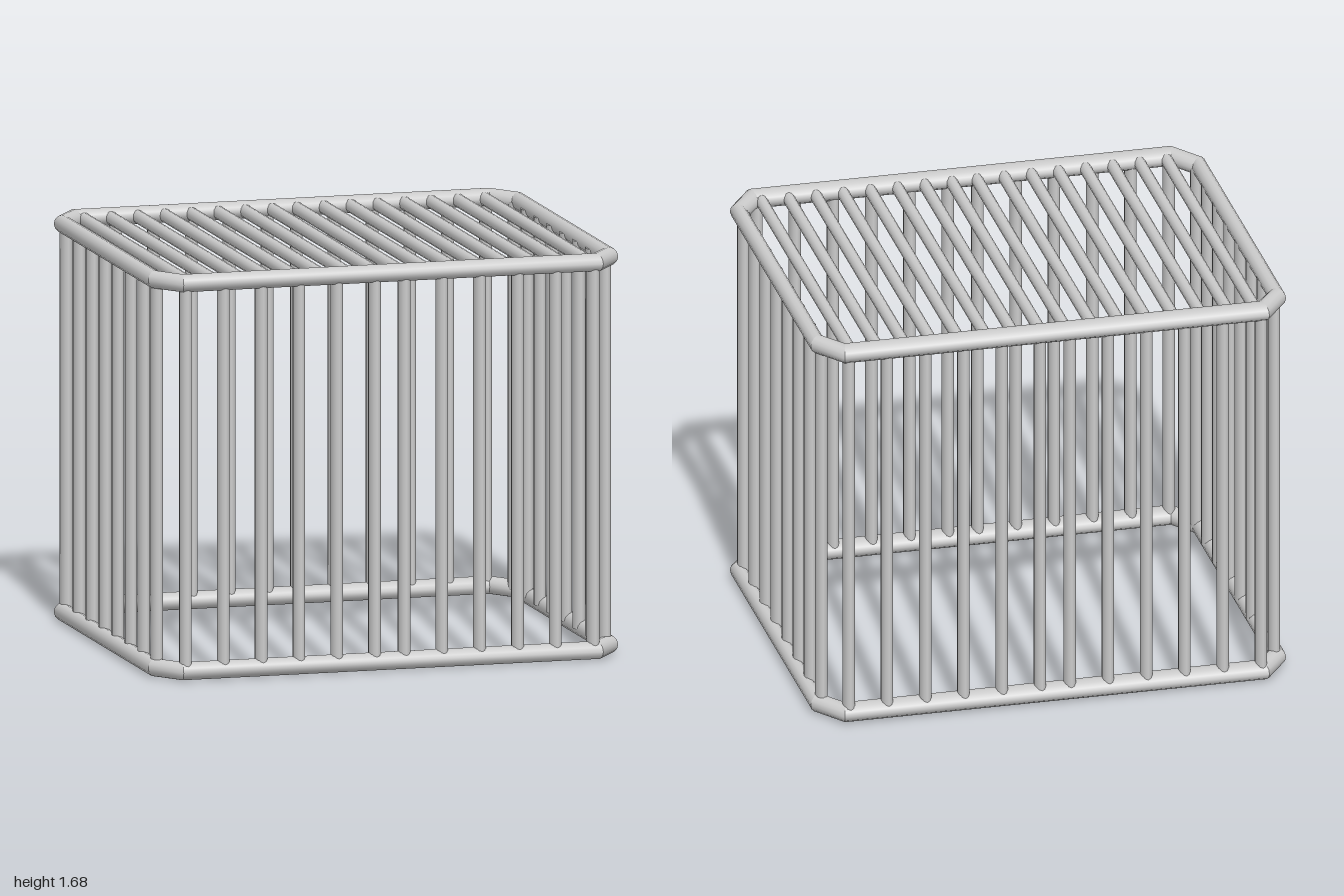
import * as THREE from 'three';

const material = new THREE.MeshStandardMaterial({ color: 0xcccccc, roughness: 0.7 });
const RAIL_Y = [0.0375, 1.6475]; // centre heights of the lower and upper rails
const RAIL_HALF_HEIGHT = 0.0375;
const SIDES = 12;

// Rounded rectangle with cut corners, as a loop of 8 points
function cutCornerLoop([ax, az], [bx, bz]) {
  return [[ax, az], [bx, bz], [bx, -bz], [ax, -az], [-ax, -az], [-bx, -bz], [-bx, bz], [-ax, az]];
}

// Closed rail: oval section swept between an inner and an outer loop, mitred at corners
function railGeometry() {
  const outer = cutCornerLoop([0.893, 0.841], [1, 0.69]);
  const inner = cutCornerLoop([0.868, 0.733], [0.935, 0.645]);
  const pos = [], index = [];
  const ring = (k) => {
    for (let s = 0; s < SIDES; s++) {
      const a = (s / SIDES) * Math.PI * 2;
      const t = (1 + Math.cos(a)) / 2;
      pos.push(
        inner[k][0] + (outer[k][0] - inner[k][0]) * t,
        Math.sin(a) * RAIL_HALF_HEIGHT,
        inner[k][1] + (outer[k][1] - inner[k][1]) * t
      );
    }
  };
  for (let k = 0; k < 8; k++) {
    const base = pos.length / 3;
    ring(k);
    ring((k + 1) % 8);
    for (let s = 0; s < SIDES; s++) {
      const a = base + s, b = base + ((s + 1) % SIDES);
      index.push(a, a + SIDES, b, b, a + SIDES, b + SIDES);
    }
  }
  const g = new THREE.BufferGeometry();
  g.setAttribute('position', new THREE.Float32BufferAttribute(pos, 3));
  g.setIndex(index);
  g.computeVertexNormals();
  return g;
}

export function createModel() {
  const model = new THREE.Group();
  model.name = 'cage';

  const add = (parent, geometry, name, x, y, z) => {
    const mesh = new THREE.Mesh(geometry, material);
    mesh.name = name;
    mesh.position.set(x, y, z);
    parent.add(mesh);
  };
  const group = (name) => {
    const g = new THREE.Group();
    g.name = name;
    model.add(g);
    return g;
  };

  // Lower and upper rails
  const rail = railGeometry();
  add(model, rail, 'bottomRail', 0, RAIL_Y[0], 0);
  add(model, rail, 'topRail', 0, RAIL_Y[1], 0);

  // Upright bars with an oval section, running from rail to rail
  const upright = new THREE.CylinderGeometry(1, 1, RAIL_Y[1] - RAIL_Y[0], SIDES);
  upright.scale(0.0245, 1, 0.041);
  const midY = (RAIL_Y[0] + RAIL_Y[1]) / 2;

  // Front and back rows: two runs of six with a closer pair in the middle
  for (const [name, z] of [['front', 0.785], ['back', -0.786]]) {
    const row = group(name + 'Bars');
    for (let i = 0; i < 6; i++) {
      add(row, upright, name + 'Bar', -0.87 + i * 0.161, midY, z);
      add(row, upright, name + 'Bar', 0.06 + i * 0.161, midY, z);
    }
  }

  // Side rows
  for (const [name, x] of [['left', 0.951], ['right', -0.955]]) {
    const row = group(name + 'Bars');
    for (let i = 0; i < 8; i++) add(row, upright, name + 'Bar', x, midY, 0.658 - i * 0.189);
  }

  // Roof bars running front to back
  const roofBar = new THREE.CylinderGeometry(1, 1, 1.57, SIDES);
  roofBar.rotateX(Math.PI / 2).scale(0.0245, 0.028, 1);
  const roof = group('roofBars');
  for (let i = 0; i < 8; i++) {
    add(roof, roofBar, 'roofBar', -0.853 + i * 0.1142, RAIL_Y[1], 0);
    add(roof, roofBar, 'roofBar', 0.052 + i * 0.1142, RAIL_Y[1], 0);
  }
  return model;
}
